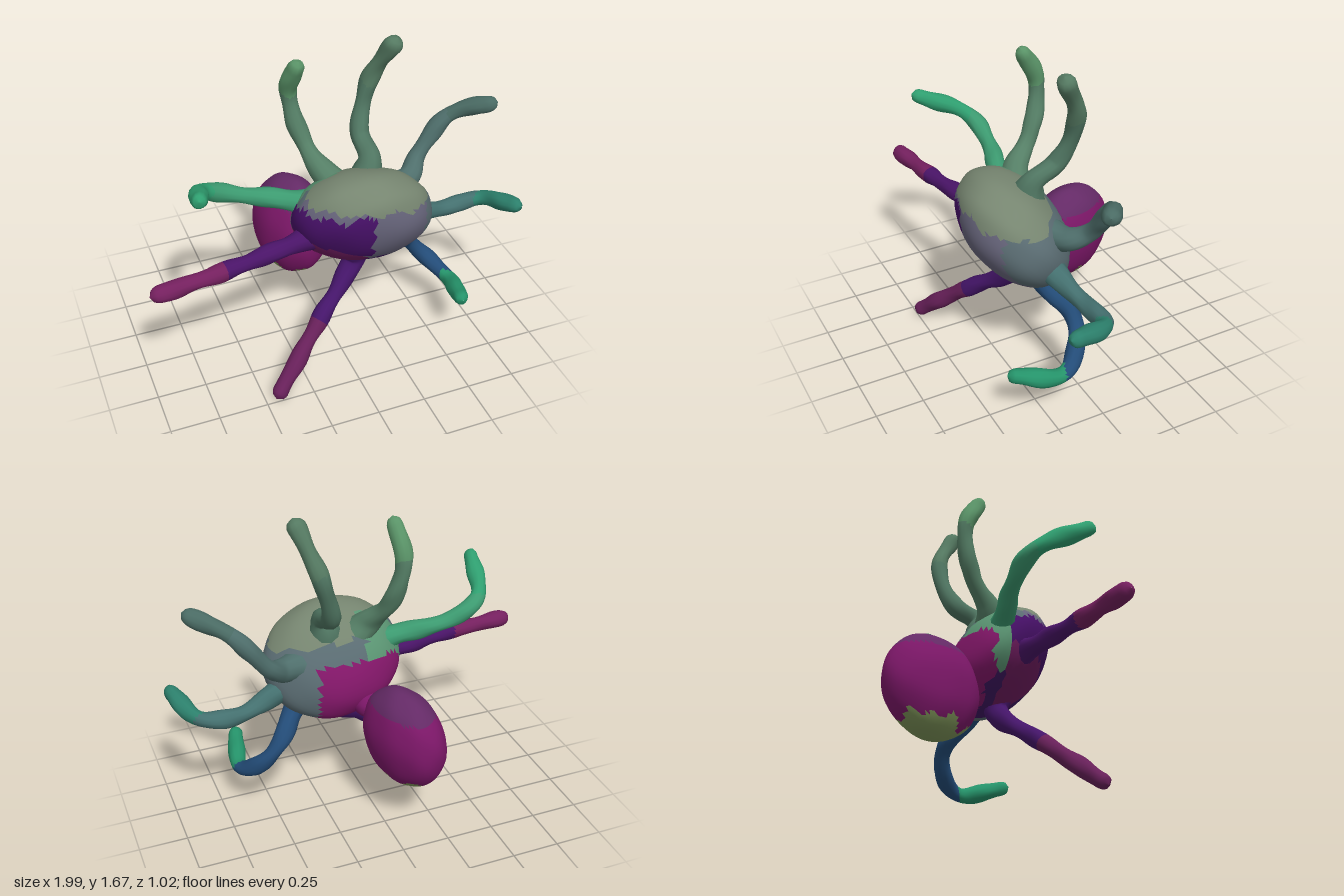
import * as THREE from 'three';
import { mergeVertices } from 'three/addons/utils/BufferGeometryUtils.js';

const V = (x, y, z) => new THREE.Vector3(x, y, z);
const BODY_CENTRE = V(0.13, 0.81, 0.18);

// Welds a shape and recomputes smooth normals across its seams
function weld(geo) {
  geo.deleteAttribute('uv');
  geo.deleteAttribute('normal');
  const g = mergeVertices(geo, 1e-5);
  g.computeVertexNormals();
  return g;
}

// Splits a surface into one mesh per colour; pick(centre of triangle) returns a colour
function painted(name, geo, pick) {
  const group = new THREE.Group();
  group.name = name;
  const { position, normal } = geo.attributes, idx = geo.index.array, sets = new Map();
  const c = V(0, 0, 0), p = V(0, 0, 0);
  for (let t = 0; t < idx.length; t += 3) {
    const corners = [idx[t], idx[t + 1], idx[t + 2]];
    c.set(0, 0, 0);
    for (const i of corners) c.addScaledVector(p.fromBufferAttribute(position, i), 1 / 3);
    const color = pick(c);
    if (!sets.has(color)) sets.set(color, { positions: [], normals: [] });
    const set = sets.get(color);
    for (const i of corners) {
      set.positions.push(position.getX(i), position.getY(i), position.getZ(i));
      set.normals.push(normal.getX(i), normal.getY(i), normal.getZ(i));
    }
  }
  for (const [color, { positions, normals }] of sets) {
    const patch = new THREE.BufferGeometry();
    patch.setAttribute('position', new THREE.Float32BufferAttribute(positions, 3));
    patch.setAttribute('normal', new THREE.Float32BufferAttribute(normals, 3));
    const mesh = new THREE.Mesh(patch, new THREE.MeshStandardMaterial({ color }));
    mesh.name = name + 'Patch';
    group.add(mesh);
  }
  return group;
}

// Slightly lumpy ellipsoid, tilted and placed
function blob(radii, euler, centre) {
  const geo = new THREE.SphereGeometry(1, 48, 32);
  const pos = geo.attributes.position, v = V(0, 0, 0);
  for (let i = 0; i < pos.count; i++) {
    v.fromBufferAttribute(pos, i);
    const lump = 1 + 0.008 * Math.sin(7 * v.x + 2) * Math.sin(8 * v.y) + 0.006 * Math.sin(9 * v.z + 5 * v.x);
    v.multiplyScalar(lump).multiply(radii).applyEuler(euler).add(centre);
    pos.setXYZ(i, v.x, v.y, v.z);
  }
  return weld(geo);
}

// Uneven limb: flared where it meets the body, rounded at the tip
function limb(points, radius, phase) {
  const curve = new THREE.CatmullRomCurve3(points);
  const rings = 64, sides = 12, length = curve.getLength();
  const geo = new THREE.TubeGeometry(curve, rings, 1, sides, false);
  const pos = geo.attributes.position, v = V(0, 0, 0);
  for (let i = 0; i <= rings; i++) {
    const u = i / rings, centre = curve.getPointAt(u), d = length * u;
    const end = THREE.MathUtils.clamp(length * (1 - u) / (radius * 1.2), 0, 1);
    const r = (radius * (1 + 0.1 * Math.sin(d * 24 + phase)) + 0.045 * Math.exp(-d / 0.09))
      * Math.sqrt(end * (2 - end)) + 0.001;
    for (let j = 0; j <= sides; j++) {
      const k = i * (sides + 1) + j;
      const bump = 1 + 0.05 * Math.sin((j % sides) * 1.35 + d * 30 + phase);
      v.fromBufferAttribute(pos, k).sub(centre).multiplyScalar(r * bump).add(centre);
      pos.setXYZ(k, v.x, v.y, v.z);
    }
  }
  return weld(geo);
}

// Leg rooted inside the body; the last stretch of its path takes the tip colour
function leg(name, base, tip, ...points) {
  const path = points.map(p => V(...p));
  const root = path[0].clone().lerp(BODY_CENTRE, 0.3);
  const [knee, end] = path.slice(-2);
  const axis = end.clone().sub(knee);
  const geo = limb([root, ...path], 0.042, end.x * 5);
  return painted(name, geo, p =>
    p.clone().sub(knee).dot(axis) > 0 && p.distanceTo(root) > 0.35 ? tip : base);
}

// Body colours: pale crown, grey face, violet right cheek, magenta rear
function bodyColor(p) {
  const w = 0.012 * Math.sin(p.x * 40) + 0.012 * Math.sin(p.y * 47 + p.z * 30);
  if (p.z < 0.06 + w && p.y < 0.87 + w && p.x < 0.27) return 0x84176a;
  if (p.x < 0.1 + w && p.y < 0.95 + w && p.z > 0.12) return p.y < 0.72 - p.x * 0.3 ? 0x701c60 : 0x471068;
  if (p.x < 0.2 + w && p.y < 0.64 + w) return 0x3f1762;
  if (p.x < 0 && p.z < 0.15) return 0x5a9472;
  if (p.y > 0.97 + w - p.x * 0.1) return 0x768570;
  return p.z < 0.2 || p.x > 0.4 ? 0x5a6c72 : 0x66647a;
}

// Abdomen colours: purple back, magenta sides, pale green underside
function abdomenColor(p) {
  const w = 0.025 * Math.sin(p.x * 50) + 0.015 * Math.sin(p.z * 60);
  if (p.y < 0.32 + w) return 0x7d9358;
  return p.y > 0.7 ? 0x642a66 : 0x7c1768;
}

export function createModel() {
  const model = new THREE.Group();
  model.name = 'eightLeggedCreature';

  // Main body, tipped up toward the front
  const body = blob(V(0.365, 0.315, 0.225), new THREE.Euler(0.72, 0, -0.2, 'ZXY'), BODY_CENTRE);
  model.add(painted('body', body, bodyColor));

  // Rear abdomen
  const abdomen = blob(V(0.17, 0.275, 0.262), new THREE.Euler(0, 0.27, -0.12), V(-0.1, 0.525, -0.255));
  model.add(painted('abdomen', abdomen, abdomenColor));

  // Short waist joining the two
  const waist = blob(V(0.07, 0.07, 0.09), new THREE.Euler(0, 0.3, 0), V(0.02, 0.63, -0.045));
  model.add(painted('waist', waist, () => 0x7c1768));

  // Left legs, top to bottom
  model.add(
    leg('leftTopLeg', 0x4f7561, 0x557a62, [0.2, 1.08, 0.1], [0.2, 1.15, -0.03], [0.27, 1.4, -0.09], [0.36, 1.67, 0.03]),
    leg('leftUpperLeg', 0x4f6f6c, 0x4a6b64, [0.45, 0.87, 0.04], [0.53, 0.94, -0.03], [0.7, 1.15, -0.03], [0.9, 1.25, 0.1]),
    leg('leftMiddleLeg', 0x44706f, 0x2c806c, [0.48, 0.69, 0.11], [0.66, 0.64, 0.07], [0.86, 0.66, 0.08], [0.97, 0.73, 0.32]),
    leg('leftLowerLeg', 0x234c78, 0x25936a, [0.37, 0.57, 0.11], [0.47, 0.45, 0.03], [0.56, 0.34, 0.05], [0.65, 0.25, 0.17], [0.6, 0.31, 0.45]),
  );

  // Right legs, top to bottom
  model.add(
    leg('rightTopLeg', 0x557f66, 0x5a9468, [-0.04, 1.04, 0.07], [-0.1, 1.17, -0.04], [-0.15, 1.42, -0.1], [-0.13, 1.62, 0]),
    leg('rightUpperLeg', 0x3c9a70, 0x2f9f70, [-0.21, 0.92, 0.09], [-0.47, 0.98, 0.03], [-0.64, 1.06, 0.06], [-0.73, 1.2, 0.34]),
    leg('rightMiddleLeg', 0x4a1468, 0x75205f, [-0.22, 0.76, 0.22], [-0.62, 0.75, 0.3], [-1, 0.74, 0.35]),
    leg('rightLowerLeg', 0x45156a, 0x68205a, [0.09, 0.52, 0.17], [-0.15, 0.3, 0.31], [-0.45, 0.02, 0.49]),
  );

  return model;
}
